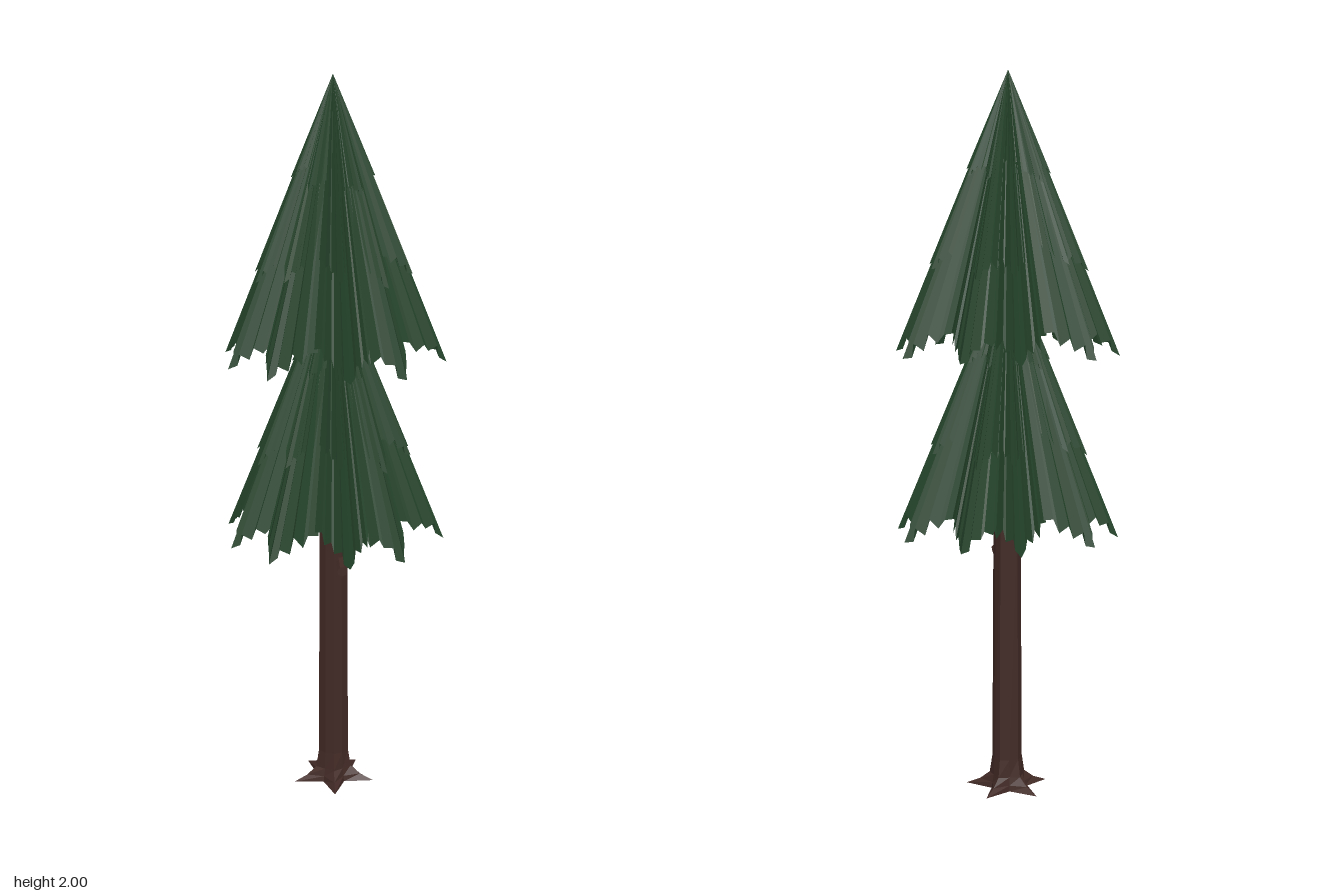
import * as THREE from 'three';

const leafMaterial = new THREE.MeshStandardMaterial({ color: 0x24432a, flatShading: true, side: THREE.DoubleSide });
const barkMaterial = new THREE.MeshStandardMaterial({ color: 0x422a26, flatShading: true, side: THREE.DoubleSide });

function toGeometry(positions) {
  const g = new THREE.BufferGeometry();
  g.setAttribute('position', new THREE.Float32BufferAttribute(positions, 3));
  g.computeVertexNormals();
  return g;
}

function seeded(seed) {
  return () => (seed = (seed * 16807) % 2147483647) / 2147483647;
}

// Half of a frond's ragged lower edge: radius, drop below the apex, sideways offset
const EDGE = [
  [0.308, 0.745, 0], [0.287, 0.735, 0.014], [0.284, 0.705, 0.018], [0.262, 0.715, 0.036],
  [0.252, 0.685, 0.042], [0.232, 0.705, 0.058], [0.215, 0.675, 0.062], [0.192, 0.68, 0.08],
];

// A folded frond: a fan from the apex down to the ragged edge on both sides of the ridge
function addFrond(out, angle, scale, lift, width, random) {
  const c = Math.cos(angle), s = Math.sin(angle);
  for (const side of [-1, 1]) {
    const edge = EDGE.map(([r, drop, w], i) => {
      const jitter = i ? (random() - 0.5) * 0.016 : 0;
      const radius = r * scale + lift * 0.3;
      const across = side * w * scale * width;
      return [radius * c - across * s, lift - (drop + jitter) * scale, radius * s + across * c];
    });
    for (let i = 0; i < edge.length - 1; i++) {
      const pair = side > 0 ? [edge[i + 1], edge[i]] : [edge[i], edge[i + 1]];
      out.push(0, lift, 0, ...pair[0], ...pair[1]);
    }
  }
}

// One tier: two rings of five fronds, overlaid with shorter shingles
function makeTier() {
  const out = [], random = seeded(71);
  const rad = THREE.MathUtils.degToRad;
  for (let i = 0; i < 5; i++) {
    for (const start of [-90, -60]) {
      const a = rad(start + 72 * i);
      addFrond(out, a, 1, start === -90 ? 0 : 0.004, 1, random);
      addFrond(out, a + (random() - 0.5) * 0.12, 0.68 + random() * 0.06, 0.012, 0.9, random);
      addFrond(out, a + (random() - 0.5) * 0.12, 0.34 + random() * 0.08, 0.014, 0.9, random);
    }
  }
  return toGeometry(out);
}

// Trunk rings: height, radius on the five root lines, radius between them
const RINGS = [
  [0.002, 0.12, 0.05], [0.018, 0.08, 0.047], [0.04, 0.052, 0.043], [0.09, 0.044, 0.041],
  [0.8, 0.04, 0.037], [1.3, 0.03, 0.027], [1.8, 0.01, 0.009],
];

function makeTrunk() {
  const out = [], sides = 10;
  const point = ([y, root, between], i) => {
    const a = Math.PI / 2 + (i / sides) * Math.PI * 2;
    const r = i % 2 ? between : root;
    return [r * Math.cos(a), y, r * Math.sin(a)];
  };
  for (let i = 0; i < sides; i++) {
    for (let k = 0; k < RINGS.length - 1; k++) {
      const a = point(RINGS[k], i), b = point(RINGS[k], i + 1);
      const c = point(RINGS[k + 1], i), d = point(RINGS[k + 1], i + 1);
      out.push(...a, ...c, ...b, ...b, ...c, ...d);
    }
    // Underside
    out.push(0, RINGS[0][0], 0, ...point(RINGS[0], i), ...point(RINGS[0], i + 1));
  }
  return toGeometry(out);
}

export function createModel() {
  const tree = new THREE.Group();
  tree.name = 'pineTree';

  const trunk = new THREE.Mesh(makeTrunk(), barkMaterial);
  trunk.name = 'trunk';
  trunk.position.z = 0.01;
  tree.add(trunk);

  // Broken branch stub on the front of the trunk
  const stub = new THREE.Mesh(new THREE.CylinderGeometry(0.014, 0.016, 0.1, 7), barkMaterial);
  stub.name = 'branchStub';
  stub.rotation.x = Math.PI / 2;
  stub.position.set(0.02, 0.67, 0.07);
  tree.add(stub);

  const tier = makeTier();
  [['upperFoliage', 1.986], ['lowerFoliage', 1.486]].forEach(([name, y]) => {
    const mesh = new THREE.Mesh(tier, leafMaterial);
    mesh.name = name;
    mesh.position.y = y;
    tree.add(mesh);
  });
  return tree;
}
